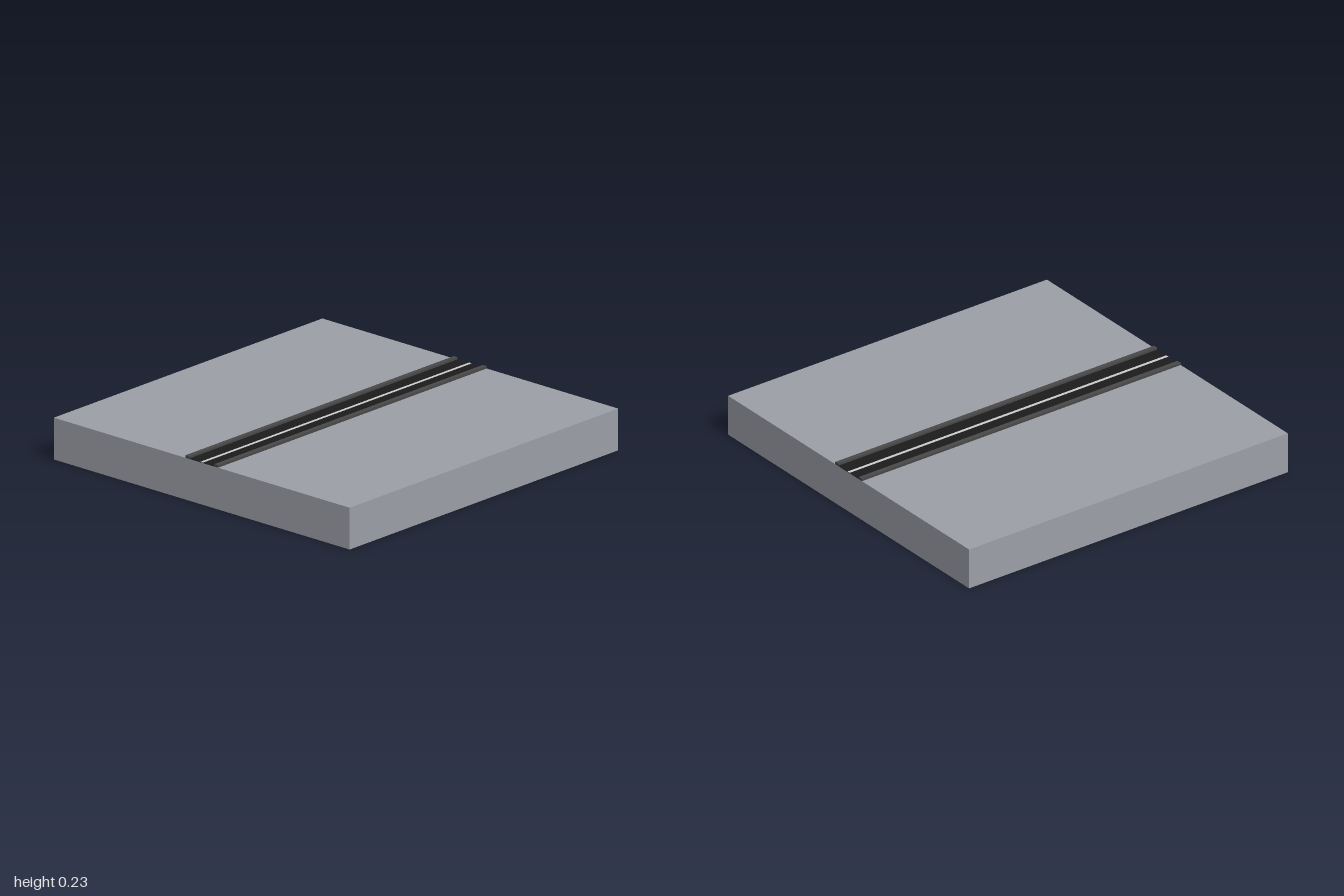
import * as THREE from 'three';

export function createModel() {
  const model = new THREE.Group();
  const slabTop = 0.222;
  const length = 2;

  // Adds a full-length box resting at height y
  function strip(name, color, width, height, x, y) {
    const mesh = new THREE.Mesh(
      new THREE.BoxGeometry(width, height, length),
      new THREE.MeshStandardMaterial({ color })
    );
    mesh.name = name;
    mesh.position.set(x, y + height / 2, 0);
    model.add(mesh);
  }

  // Ground slab
  strip('groundSlab', 0x9b9ea6, 2, slabTop, 0, 0);

  // Road surface and its centre line
  strip('roadSurface', 0x1c1c1c, 0.172, 0.002, 0, slabTop);
  strip('centreLine', 0xcccccc, 0.016, 0.0015, 0, slabTop + 0.002);

  // Raised kerbs on both sides
  for (const side of [-1, 1]) {
    strip(side > 0 ? 'leftKerb' : 'rightKerb', 0x484848, 0.026, 0.013, side * 0.098, slabTop);
  }

  return model;
}
